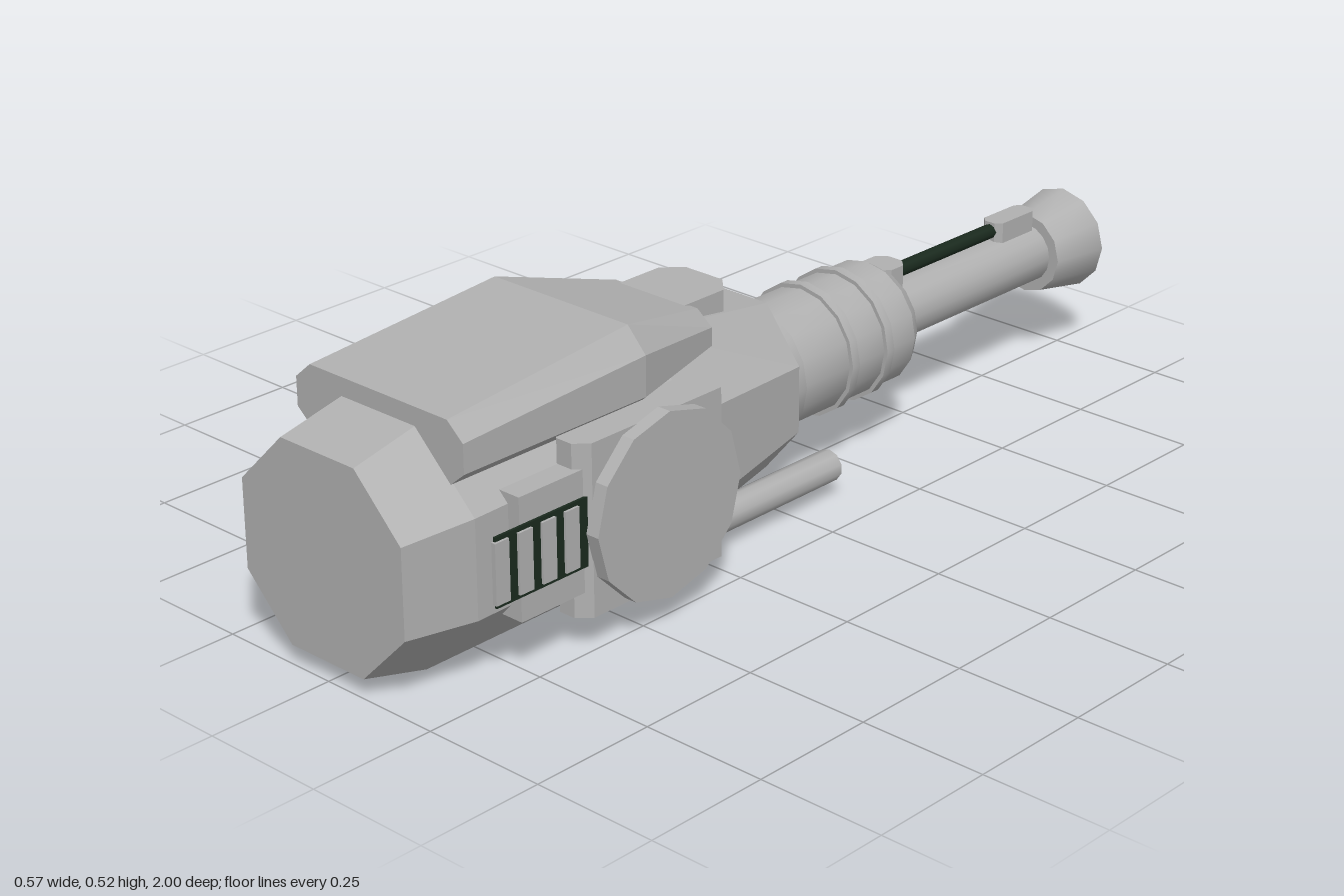
import * as THREE from 'three';
import { toCreasedNormals } from 'three/addons/utils/BufferGeometryUtils.js';

const AXIS_Y = 0.232; // height of the barrel axis

// Closed hull through cross-sections, ordered front to back, each counter-clockwise seen from +z.
function loft(sections) {
  const pos = [];
  const tri = (...p) => p.forEach((v) => pos.push(...v));
  for (let s = 0; s < sections.length - 1; s++) {
    const f = sections[s], b = sections[s + 1], n = f.length;
    for (let i = 0; i < n; i++) {
      const j = (i + 1) % n;
      tri(f[i], b[i], f[j]);
      tri(f[j], b[i], b[j]);
    }
  }
  const front = sections[0], back = sections[sections.length - 1];
  for (let i = 1; i < front.length - 1; i++) {
    tri(front[0], front[i], front[i + 1]);
    tri(back[0], back[i + 1], back[i]);
  }
  const g = new THREE.BufferGeometry();
  g.setAttribute('position', new THREE.Float32BufferAttribute(pos, 3));
  g.computeVertexNormals();
  return g;
}

// Mirrors a right-hand half outline (bottom to top) into a full section at depth z.
function section(z, half) {
  const left = half.map(([x, y]) => [x, y, z]);
  const right = half.map(([x, y]) => [-x, y, z]).reverse();
  return [...left, ...right];
}

// Turned part along -z; the profile is [radius, distance toward the back].
function turned(profile, sides) {
  const g = new THREE.LatheGeometry(profile.map(([r, d]) => new THREE.Vector2(r, d)), sides);
  g.rotateX(-Math.PI / 2).translate(0, AXIS_Y, 0);
  return toCreasedNormals(g, 0.55);
}

function box(x0, x1, y0, y1, z0, z1) {
  return new THREE.BoxGeometry(x1 - x0, y1 - y0, z1 - z0)
    .translate((x0 + x1) / 2, (y0 + y1) / 2, (z0 + z1) / 2);
}

// Upright block whose four vertical edges are chamfered by c.
function chamferedBlock(x0, x1, y0, y1, z0, z1, c) {
  const outline = [
    [x0 + c, z0], [x1 - c, z0], [x1, z0 + c], [x1, z1 - c],
    [x1 - c, z1], [x0 + c, z1], [x0, z1 - c], [x0, z0 + c],
  ];
  const shape = new THREE.Shape(outline.map(([x, z]) => new THREE.Vector2(x, -z)));
  return new THREE.ExtrudeGeometry(shape, { depth: y1 - y0, bevelEnabled: false })
    .rotateX(-Math.PI / 2).translate(0, y0, 0);
}

export function createModel() {
  const model = new THREE.Group();
  model.name = 'turretGun';
  const grey = new THREE.MeshStandardMaterial({ color: 0xb0b0b0 });
  grey.name = 'grey metal';
  const dark = new THREE.MeshStandardMaterial({ color: 0x1a2a1e });
  dark.name = 'dark green metal';

  const add = (name, geometry, material = grey, parent = model) => {
    const mesh = new THREE.Mesh(geometry, material);
    mesh.name = name;
    parent.add(mesh);
    return mesh;
  };

  // Octagonal hull
  const hull = (z, flat, w, bottom, low, high, top) =>
    section(z, [[flat, bottom], [w, low], [w, high], [flat, top]]);
  add('hull', loft([
    hull(1.0, 0.09, 0.197, 0.037, 0.145, 0.315, 0.422),
    hull(0.86, 0.09, 0.222, 0, 0.138, 0.325, 0.453),
    hull(0.33, 0.09, 0.215, 0, 0.14, 0.33, 0.453),
    hull(0, 0.085, 0.165, 0.08, 0.175, 0.305, 0.408),
  ]));

  // Armoured cover on top
  const cover = (z, bw, yb, w, low, high, t, top) =>
    section(z, [[bw, yb], [w, low], [w, high], [t, top]]);
  add('topCover', loft([
    cover(0.865, 0.17, 0.37, 0.205, 0.40, 0.455, 0.168, 0.487),
    cover(0.44, 0.17, 0.37, 0.205, 0.40, 0.477, 0.163, 0.522),
    cover(0.2, 0.11, 0.385, 0.135, 0.40, 0.435, 0.1, 0.462),
  ]));
  add('coverLatch', chamferedBlock(-0.08, 0.08, 0.39, 0.465, 0.075, 0.25, 0.035));

  // Collar with raised rings
  add('collar', turned([
    [0, -0.02], [0.132, -0.02], [0.132, 0.06], [0.124, 0.06],
    [0.124, 0.19], [0.132, 0.19], [0.132, 0.21], [0.124, 0.21],
    [0.124, 0.29], [0.132, 0.29], [0.132, 0.31], [0.124, 0.31],
    [0.124, 0.38], [0.105, 0.41], [0, 0.41],
  ], 16));

  // Barrel, flared muzzle and bore
  add('barrel', turned([[0.061, 0.4], [0.061, 0.885]], 16));
  add('muzzle', turned([[0.05, 0.88], [0.083, 0.88], [0.104, 1], [0.055, 1]], 12));
  add('bore', turned([[0.055, 1], [0.055, 0.9], [0, 0.9]], 12), dark);

  // Rod over the barrel and its two mounts
  add('gasRod', new THREE.CylinderGeometry(0.015, 0.015, 0.34, 8)
    .rotateX(Math.PI / 2).translate(0, 0.311, -0.61), dark);
  add('rearRodMount', chamferedBlock(-0.036, 0.036, 0.27, 0.338, -0.465, -0.395, 0.018));
  add('frontRodMount', chamferedBlock(-0.024, 0.024, 0.27, 0.33, -0.88, -0.76, 0.012));

  // Side equipment, repeated on both sides
  for (const side of [1, -1]) {
    const g = new THREE.Group();
    g.name = side > 0 ? 'leftSide' : 'rightSide';
    model.add(g);
    const place = (name, geometry, material = grey) => {
      if (side < 0) geometry.rotateY(Math.PI).translate(0, 0, 0);
      return add(name, geometry, material, g);
    };
    // Depths flip with the half turn, so build them with the matching sign.
    const span = (a, b) => (side > 0 ? [a, b] : [-b, -a]);
    const mid = (z) => z * side;

    place('sideBlock', chamferedBlock(0.175, 0.258, 0.067, 0.392, ...span(0.285, 0.65), 0.024));
    place('sideDisc', toCreasedNormals(new THREE.CylinderGeometry(0.176, 0.176, 0.028, 12)
      .rotateZ(Math.PI / 2).translate(0.271, 0.23, mid(0.465)), 0.3));
    place('ventBracket', box(0.18, 0.247, 0.115, 0.345, ...span(0.62, 0.785)));

    // Vent grille
    place('ventPlate', box(0.247, 0.252, 0.165, 0.295, ...span(0.62, 0.845)), dark);
    for (let i = 0; i < 4; i++) {
      const z = 0.672 + i * 0.054;
      place('ventSlat', box(0.248, 0.257, 0.173, 0.287, ...span(z - 0.016, z + 0.016)));
    }

    // Tube under the hull
    place('underTube', toCreasedNormals(new THREE.CylinderGeometry(0.031, 0.031, 0.635, 10)
      .rotateX(Math.PI / 2).translate(0.139, 0.061, mid(0.2)), 0.7));
  }
  return model;
}
